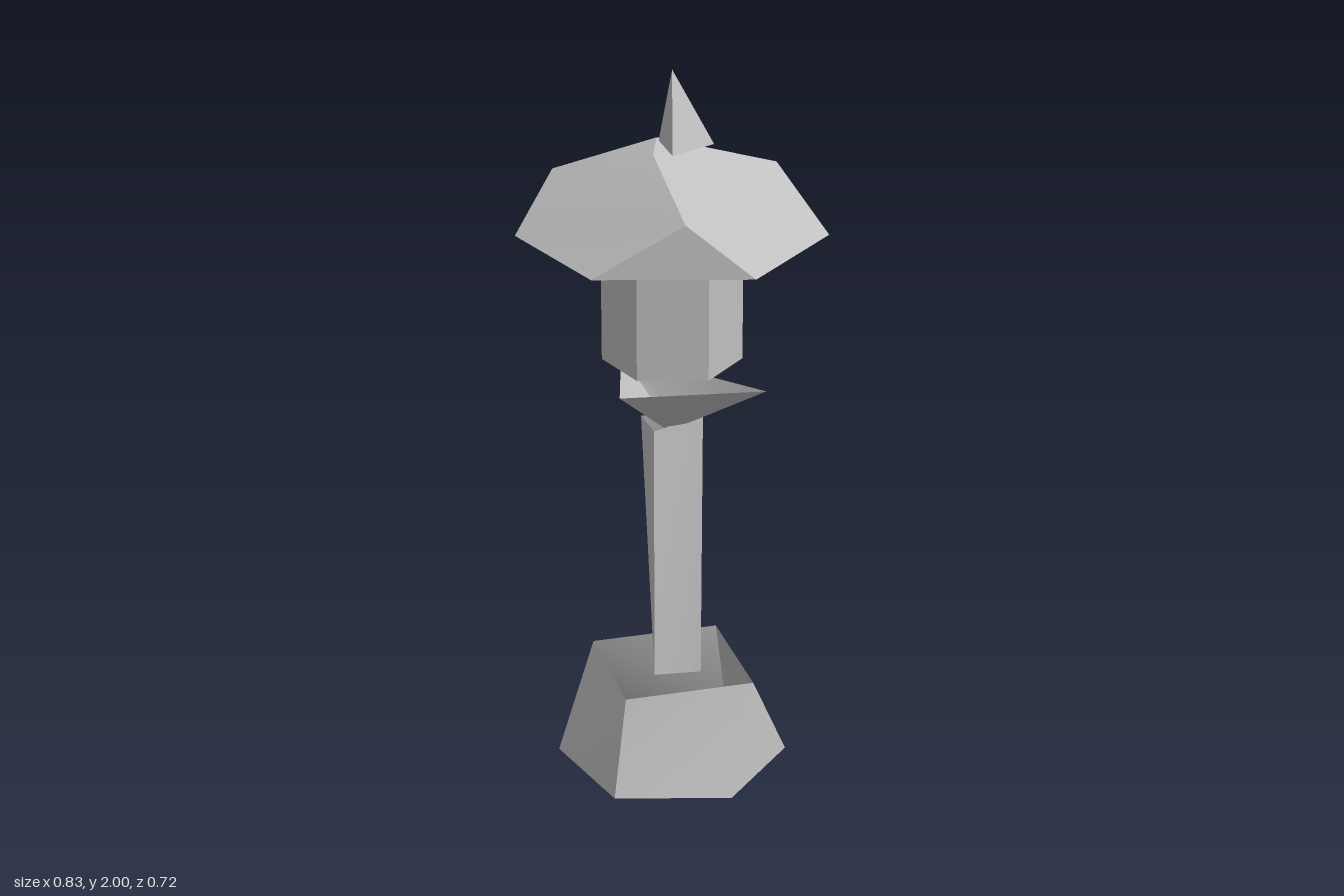
import * as THREE from 'three';
import { toCreasedNormals } from 'three/addons/utils/BufferGeometryUtils.js';

const TAU = Math.PI * 2;

// Regular ring of n points, angle measured from +x towards +z
function ring(n, radius, y, startDeg = 0) {
  return Array.from({ length: n }, (_, i) => {
    const a = THREE.MathUtils.degToRad(startDeg) + (i / n) * TAU;
    return [radius * Math.cos(a), y, radius * Math.sin(a)];
  });
}

// Ever-increasing angles around a ring, closing one full turn later
function ringAngles(points) {
  const out = [];
  for (const [x, , z] of points) {
    let a = Math.atan2(z, x);
    while (out.length && a < out[out.length - 1]) a += TAU;
    out.push(a);
  }
  out.push(out[0] + TAU);
  return out;
}

// Triangles joining a lower ring to an upper ring with a different point count
function stitch(lower, upper) {
  const la = ringAngles(lower), ua = ringAngles(upper), tris = [];
  let i = 0, j = 0;
  while (i < lower.length || j < upper.length) {
    const lo = lower[i % lower.length], up = upper[j % upper.length];
    const stepLower = j >= upper.length || (i < lower.length && la[i + 1] <= ua[j + 1]);
    if (stepLower) {
      i++;
      tris.push(lo, up, lower[i % lower.length]);
    } else {
      j++;
      if (upper.length > 1) tris.push(lo, up, upper[j % upper.length]);
    }
  }
  return tris;
}

// Flat lid over a ring
function lid(points, facesUp) {
  const tris = [];
  for (let i = 1; i < points.length - 1; i++) {
    if (facesUp) tris.push(points[0], points[i + 1], points[i]);
    else tris.push(points[0], points[i], points[i + 1]);
  }
  return tris;
}

export function createModel() {
  const group = new THREE.Group();
  const stone = new THREE.MeshStandardMaterial({ color: 0xbfbfbf, side: THREE.DoubleSide });
  stone.name = 'stone grey';

  function addPart(name, tris, crease = 0.6) {
    const geo = new THREE.BufferGeometry();
    geo.setAttribute('position', new THREE.Float32BufferAttribute(tris.flat(), 3));
    const mesh = new THREE.Mesh(toCreasedNormals(geo, crease), stone);
    mesh.name = name;
    group.add(mesh);
  }

  // Base: six-sided foot twisting into a four-sided open top
  const foot = ring(6, 0.325, 0);
  addPart('base', [...stitch(foot, ring(4, 0.26, 0.28, -60)), ...lid(foot, false)]);

  // Column: twisted three-sided shaft, open at both ends
  addPart('column', stitch(
    [[0.08, 0.28, 0.06], [-0.05, 0.28, 0.08], [-0.05, 0.28, -0.09]],
    [[0.085, 1.02, -0.035], [-0.05, 1.02, 0.08], [-0.085, 1.02, -0.035]],
  ), 1.0);

  // Capital: tilted open bowl under the lamp chamber
  addPart('capital', stitch(
    ring(3, 0.04, 1.01),
    [[0.25, 1.155, 0.13], [-0.14, 1.18, 0.24], [-0.14, 1.13, -0.225]],
  ), 1.0);

  // Lamp chamber: open six-sided prism
  addPart('lampChamber', stitch(ring(6, 0.19, 1.2), ring(6, 0.19, 1.51)));

  // Roof: shallow underside, six-sided rim, three-sided shoulder, crooked crown
  const soffit = ring(6, 0.2, 1.51);
  const rim = ring(6, 0.417, 1.55);
  const shoulder = [[0.285, 1.69, -0.21], [0.03, 1.69, 0.35], [-0.32, 1.69, -0.15]];
  const crown = [[0.03, 1.74, 0], [-0.05, 1.78, 0.03], [-0.04, 1.8, -0.065]];
  addPart('roof', [
    ...lid(soffit, false),
    ...stitch(soffit, rim),
    ...stitch(rim, shoulder),
    ...stitch(shoulder, crown),
    ...lid(crown, true),
  ]);

  // Finial: small three-sided spike floating over the roof
  addPart('finial', stitch(
    [[0.11, 1.8, 0], [0, 1.8, 0.11], [-0.035, 1.8, -0.035]],
    [[0, 2, 0]],
  ));

  return group;
}
